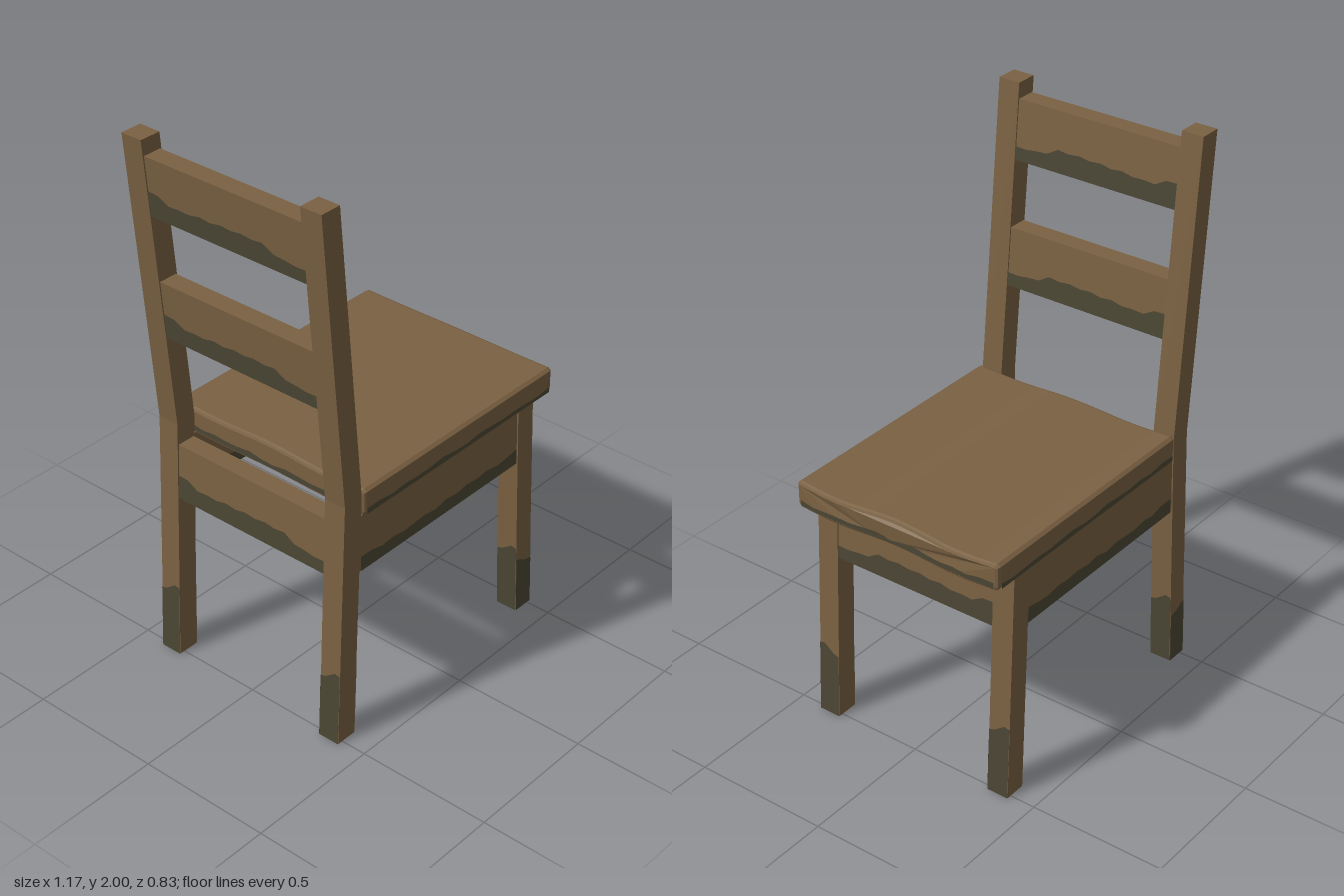
import * as THREE from 'three';

const wood = new THREE.MeshStandardMaterial({ color: 0x7a6142 });
wood.name = 'brown wood';
const grime = new THREE.MeshStandardMaterial({ color: 0x4b4634, side: THREE.DoubleSide });
grime.name = 'dark olive stain';

const LEG = 0.08;               // leg thickness
const Z_IN = 0.322, Z_OUT = 0.404;
const KINK = 0.93;              // height where the back posts lean backwards
const lerp = THREE.MathUtils.lerp;

// Rear edge of the back post and of the front leg at a given height
const backX = (y) => y < KINK ? lerp(-0.52, -0.485, y / KINK) : lerp(-0.485, -0.585, (y - KINK) / (2 - KINK));
const frontX = (y) => lerp(0.436, 0.401, y / 0.86);

export function createModel() {
  const chair = new THREE.Group();
  chair.name = 'chair';

  const add = (name, geometry, material = wood) => {
    const mesh = new THREE.Mesh(geometry, material);
    mesh.name = name;
    chair.add(mesh);
    return mesh;
  };

  // Polygon in the side plane, extruded across z
  const slab = (name, points, z0, z1) => {
    const shape = new THREE.Shape(points.map(([x, y]) => new THREE.Vector2(x, y)));
    const geometry = new THREE.ExtrudeGeometry(shape, { depth: z1 - z0, bevelEnabled: false });
    return add(name, geometry.translate(0, 0, z0));
  };

  // Thin stain with a ragged upper edge: base(t, h) gives the point at height h
  const stain = (name, base, heights) => {
    const positions = [], index = [];
    heights.forEach((h, i) => {
      const t = i / (heights.length - 1);
      positions.push(...base(t, 0), ...base(t, h));
      if (i) index.push(2 * i - 2, 2 * i, 2 * i - 1, 2 * i, 2 * i + 1, 2 * i - 1);
    });
    const geometry = new THREE.BufferGeometry();
    geometry.setAttribute('position', new THREE.Float32BufferAttribute(positions, 3));
    geometry.setIndex(index);
    // Front and back sheets share the rule; normals follow the winding
    geometry.computeVertexNormals();
    return add(name, geometry, grime);
  };

  const railWave = [0.09, 0.088, 0.065, 0.068, 0.066, 0.075, 0.07, 0.078, 0.074, 0.08, 0.075, 0.08, 0.055, 0.052, 0.046, 0.048];
  const sideWave = [0.056, 0.056, 0.044, 0.05, 0.042, 0.046, 0.05, 0.042, 0.054, 0.047, 0.055, 0.05, 0.056, 0.046, 0.052, 0.06];
  const legWave = [0.225, 0.22, 0.205, 0.2, 0.195];
  const legWaveHigh = [0.245, 0.25, 0.265, 0.28, 0.275];
  const OFF = 0.002;

  // Legs and back posts
  for (const s of [-1, 1]) {
    const z0 = s > 0 ? Z_IN : -Z_OUT, z1 = s > 0 ? Z_OUT : -Z_IN;
    const post = [0, KINK, 2];
    slab('backPost', [
      ...post.map((y) => [backX(y) + LEG, y]),
      ...post.reverse().map((y) => [backX(y), y]),
    ], z0, z1);
    slab('frontLeg', [
      [frontX(0), 0], [frontX(0) + LEG, 0], [frontX(0.86) + LEG, 0.86], [frontX(0.86), 0.86],
    ], z0, z1);

    // Stained feet
    for (const [name, edge, faceZ] of [['frontLeg', frontX, 1], ['backPost', backX, -1]]) {
      stain(name + 'FrontStain', (t, h) => [edge(h) + LEG + OFF, h, lerp(z0, z1, s > 0 ? t : 1 - t)], legWaveHigh);
      if (name === 'backPost' || s > 0) {
        stain(name + 'RearStain', (t, h) => [edge(h) - OFF, h, lerp(z0, z1, t)], legWaveHigh);
      }
      const z = faceZ > 0 ? z1 + OFF : z0 - OFF;
      stain(name + 'SideStain', (t, h) => [edge(h) + LEG * t, h, z], legWave);
    }
  }

  // Cross rails and aprons that follow the lean of the posts
  const inset = 0.005;
  const crossRail = (name, edge, y0, y1) => {
    const rear = (y) => edge(y) + inset;
    const front = (y) => edge(y) + LEG - inset;
    slab(name, [[rear(y0), y0], [front(y0), y0], [front(y1), y1], [rear(y1), y1]], -Z_IN - 0.005, Z_IN + 0.005);
    const z = (t) => lerp(-Z_IN, Z_IN, t);
    stain(name + 'FrontStain', (t, h) => [front(y0 + h) + OFF, y0 + h, z(t)], railWave);
    stain(name + 'RearStain', (t, h) => [rear(y0 + h) - OFF, y0 + h, z(t)], railWave);
  };
  crossRail('topBackRail', backX, 1.73, 1.943);
  crossRail('middleBackRail', backX, 1.275, 1.487);
  crossRail('rearApron', backX, 0.642, 0.85);
  crossRail('frontApron', frontX, 0.642, 0.855);

  // Side aprons
  for (const s of [-1, 1]) {
    const outer = s * (Z_OUT - inset), inner = s * (Z_IN + inset);
    slab('sideApron', [[-0.425, 0.642], [0.425, 0.642], [0.425, 0.855], [-0.425, 0.855]],
      Math.min(outer, inner), Math.max(outer, inner));
    for (const z of [outer + s * OFF, inner - s * OFF]) {
      stain('sideApronStain', (t, h) => [lerp(-0.405, 0.405, t), 0.642 + h, z], sideWave);
    }
  }

  // Seat: two shallow hollows across the width and a bowed front edge
  const wave = (z) => Math.sin(Math.PI * Math.abs(z) / 0.5) ** 2;
  const dip = (z) => -0.009 * wave(z);
  const W = 0.411, B = 0.012, N = 24;
  const top = [], bottom = [];
  for (let i = 0; i <= N; i++) {
    const z = lerp(-W + B, W - B, i / N);
    bottom.push(new THREE.Vector2(z, 0.856 + dip(z) * 0.5));
    top.unshift(new THREE.Vector2(z, 0.956 + dip(z)));
  }
  const outline = [
    ...bottom, new THREE.Vector2(W, 0.868), new THREE.Vector2(W, 0.944),
    ...top, new THREE.Vector2(-W, 0.944), new THREE.Vector2(-W, 0.868),
  ];
  const seat = new THREE.ExtrudeGeometry(new THREE.Shape(outline), {
    depth: 0.97 - 2 * B, bevelThickness: B, bevelSize: B, bevelOffset: -B, bevelSegments: 2,
  });
  seat.rotateY(Math.PI / 2).translate(-0.4 + B, 0, 0);
  const p = seat.attributes.position;
  for (let i = 0; i < p.count; i++) {
    if (p.getX(i) > 0) p.setX(i, p.getX(i) + 0.01 * wave(p.getZ(i)));
  }
  seat.computeVertexNormals();
  add('seat', seat);

  // Stains along the seat edges
  const seatWave = [0.02, 0.022, 0.014, 0.02, 0.016, 0.018, 0.024, 0.016, 0.014, 0.022, 0.019, 0.015, 0.018, 0.016, 0.013, 0.02];
  for (const s of [-1, 1]) {
    stain('seatSideStain', (t, h) => [lerp(-0.388, 0.558, t), 0.862 + h, s * (W + OFF)], seatWave);
  }
  const across = (t) => lerp(-0.395, 0.395, t);
  stain('seatFrontStain', (t, h) => [0.5725 + 0.01 * wave(across(t)), 0.866 + h, across(t)], seatWave);
  stain('seatRearStain', (t, h) => [-0.4 - OFF, 0.866 + h, across(t)], seatWave);

  return chair;
}
